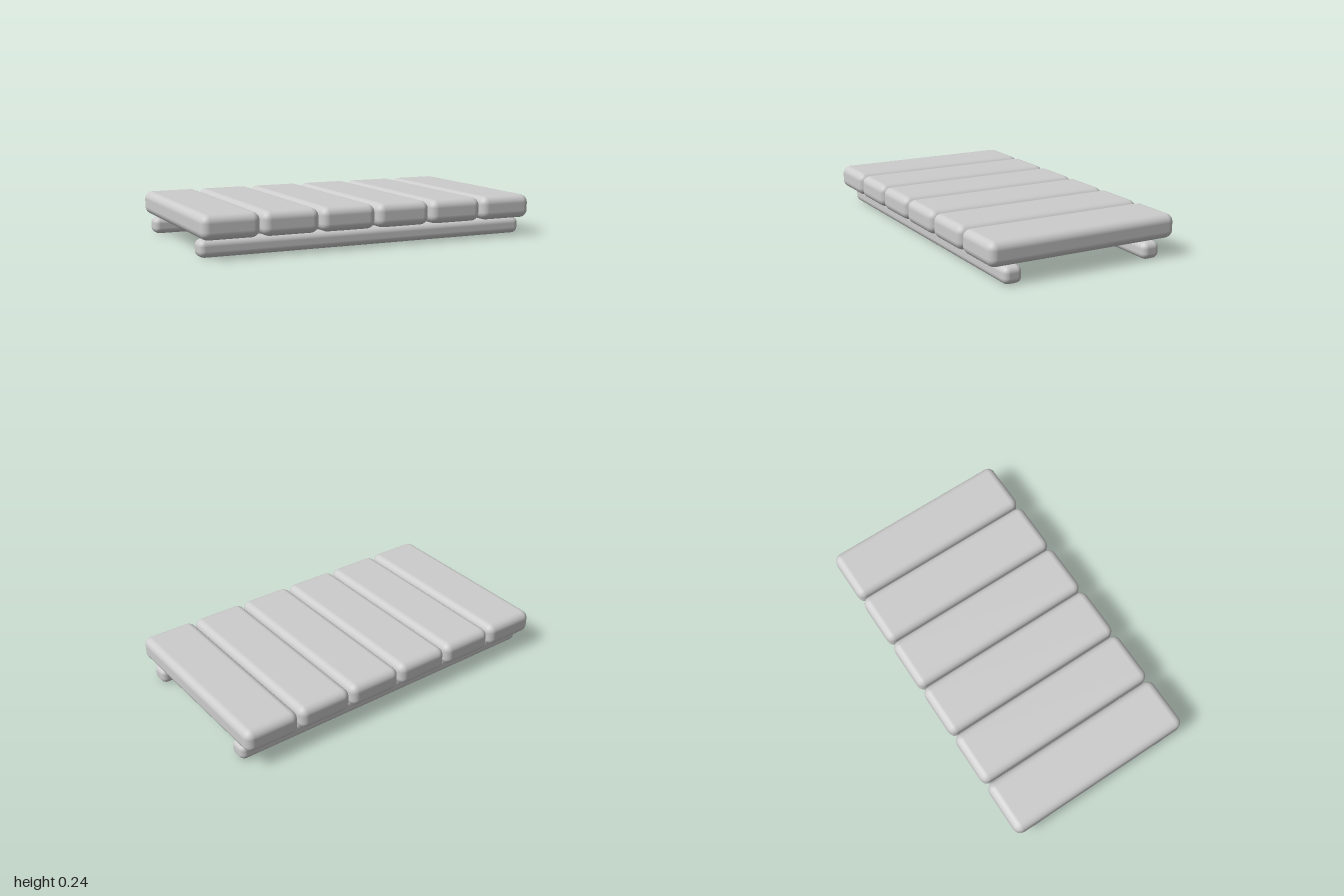
import * as THREE from 'three';
import { RoundedBoxGeometry } from 'three/addons/geometries/RoundedBoxGeometry.js';

export function createModel() {
  const group = new THREE.Group();
  const grey = new THREE.MeshStandardMaterial({ color: 0xcccccc });
  grey.name = 'light grey';

  const add = (name, geometry, x, y, z) => {
    const mesh = new THREE.Mesh(geometry, grey);
    mesh.name = name;
    mesh.position.set(x, y, z);
    group.add(mesh);
  };

  // Six planks side by side, with narrow gaps
  const count = 6, width = 0.325, pitch = (2 - width) / (count - 1);
  const plank = new RoundedBoxGeometry(width, 0.135, 1.136, 3, 0.045);
  for (let i = 0; i < count; i++) {
    add(`plank${i + 1}`, plank, -1 + width / 2 + i * pitch, 0.1705, 0);
  }

  // Two rails carrying the planks
  const rail = new RoundedBoxGeometry(1.974, 0.096, 0.11, 3, 0.035);
  add('frontRail', rail, 0, 0.048, 0.426);
  add('backRail', rail, 0, 0.048, -0.426);

  return group;
}
